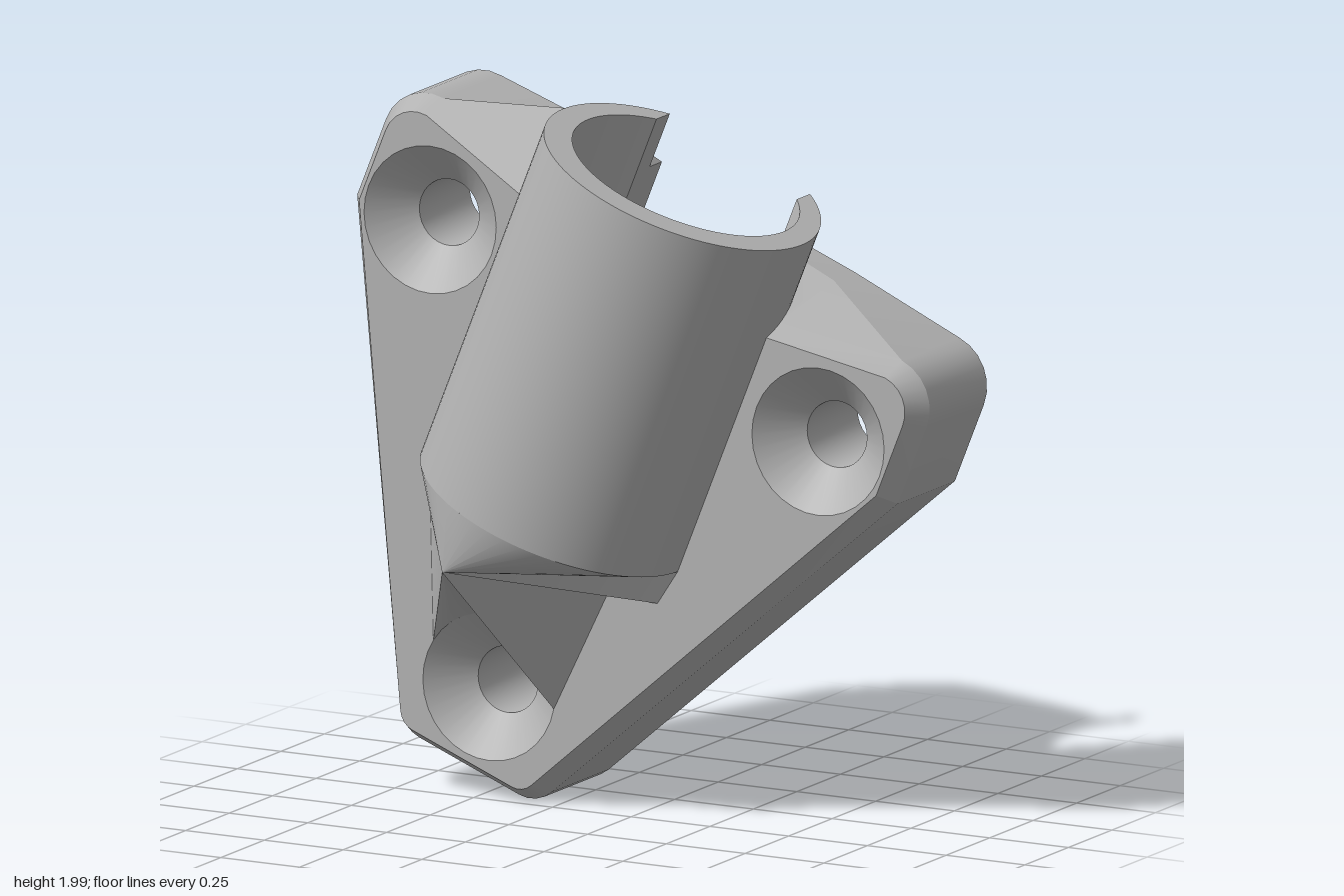
import * as THREE from 'three';
import { toCreasedNormals } from 'three/addons/utils/BufferGeometryUtils.js';

const TILT = 22 * Math.PI / 180;      // lean of the socket
const R_OUT = 0.408, R_IN = 0.335;    // socket radii
const BORE_Z = -0.02;                 // bore sits slightly towards the rear
const SLOT = 0.24, FLOOR = 0.72, TOP = 1.77;
const HOLE = 0.095, SINK = 0.21, SINK_DEPTH = 0.11;
const HOLES = [[0, 0.13], [0.664, 1.275], [-0.664, 1.275]];

// rounded plate corner: side edge [x, y, z] with its chamfered front edge [x, y]
const corner = (cx, cy, r, rFront, from, to, steps) =>
  Array.from({ length: steps + 1 }, (_, i) => {
    const a = (from + (to - from) * i / steps) * Math.PI / 180;
    const c = Math.cos(a), s = Math.sin(a);
    return [cx + r * c, cy + r * s, -0.07, cx + rFront * c, cy + rFront * s];
  });

// right half of the plate outline, ending in the rear slot
const EDGE = [
  ...corner(0.17, -0.04, 0.1, 0.06, -90, -27, 4),
  [0.925, 1.2, -0.07, 0.885, 1.22],
  ...corner(0.785, 1.445, 0.14, 0.1, 0, 90, 6),
  [0.42, 1.6, -0.28, 0.4, 1.47],
  [SLOT, 1.6, -0.3, 0.375, 1.47],
  [SLOT, FLOOR, -0.3, 0.375, FLOOR],
];

const circle = (cx, cy, r, n = 32) => Array.from({ length: n }, (_, i) => {
  const a = i / n * Math.PI * 2;
  return new THREE.Vector2(cx + r * Math.cos(a), cy + r * Math.sin(a));
});

// triangles from a list of corner points, normals smoothed below the crease
function faces(points, crease = 0.4) {
  const g = new THREE.BufferGeometry();
  g.setAttribute('position', new THREE.Float32BufferAttribute(points.flat(), 3));
  return toCreasedNormals(g, crease);
}

// flat face of the plate with screw holes
function plateFace(outline, radius) {
  const shape = new THREE.Shape(outline.map(([x, y]) => new THREE.Vector2(x, y)));
  for (const [x, y] of HOLES) shape.holes.push(new THREE.Path(circle(x, y, radius)));
  return new THREE.ShapeGeometry(shape);
}

export function createModel() {
  const grey = new THREE.MeshStandardMaterial({ color: 0xb2b2b2, side: THREE.DoubleSide });
  grey.name = 'grey';
  const model = new THREE.Group();
  model.name = 'angledSocketBracket';
  const body = new THREE.Group();
  body.name = 'leaningBracket';
  body.position.set(-0.5, 0.2, 0);
  body.rotation.z = -TILT;
  model.add(body);
  const add = (name, geometry) => {
    const mesh = new THREE.Mesh(geometry, grey);
    mesh.name = name;
    body.add(mesh);
    return mesh;
  };

  // mounting plate: side walls and chamfer as loops, then flat faces
  const loop = [...EDGE, ...EDGE.map(([x, y, z, u, v]) => [-x, y, z, -u, v]).reverse()];
  const back = loop.map(([x, y]) => [x, y, -0.4]);
  const side = loop.map(([x, y, z]) => [x, y, z]);
  const front = loop.map(([, , , u, v]) => [u, v, 0]);
  // the right shoulder climbs the socket
  side[loop.findIndex(([x]) => x === -0.42)] = [-0.42, 1.72, -0.18];
  const walls = [];
  for (const [a, b] of [[back, side], [side, front]]) {
    for (let i = 0; i < loop.length; i++) {
      const j = (i + 1) % loop.length;
      walls.push(a[i], a[j], b[j], a[i], b[j], b[i]);
    }
  }
  add('plateEdges', faces(walls));
  add('plateFront', plateFace(front, SINK));
  const backFace = plateFace(back, HOLE);
  backFace.index.array.reverse();             // face the rear
  backFace.translate(0, 0, -0.4).computeVertexNormals();
  add('plateBack', backFace);

  // countersunk screw holes
  const profile = [[SINK, 0], [HOLE, -SINK_DEPTH], [HOLE, -0.4]].map(p => new THREE.Vector2(...p));
  const holeGeometry = toCreasedNormals(
    new THREE.LatheGeometry(profile, 32).rotateX(Math.PI / 2), 0.5);
  for (const [x, y] of HOLES) add('screwHole', holeGeometry).position.set(x, y, 0);

  // socket tube, open along the rear
  const outer = Math.asin(SLOT / R_OUT), inner = Math.asin(SLOT / R_IN), q = Math.PI / 2;
  const ring = new THREE.Shape();
  ring.absarc(0, 0, R_OUT, q + outer, 5 * q - outer, false);
  ring.absarc(0, -BORE_Z, R_IN, 5 * q - inner, q + inner, true);
  const tube = new THREE.ExtrudeGeometry(ring, { depth: TOP - FLOOR, bevelEnabled: false, curveSegments: 40 });
  tube.rotateX(-Math.PI / 2).translate(0, FLOOR, 0);
  add('socketTube', toCreasedNormals(tube, 0.5));

  // closed socket bottom and gusset, fanned from one low point
  const tip = [-0.1, 0.527, 0.37];
  const rim = Array.from({ length: 25 }, (_, i) => {
    const a = i / 24 * Math.PI;
    return [R_OUT * Math.cos(a), FLOOR, R_OUT * Math.sin(a)];
  });
  const right = [0.385, 0.605, 0], left = [-0.41, 0.64, 0], foot = [0.237, 0.59, 0];
  const arc = Array.from({ length: 15 }, (_, i) => {
    const a = (0.06 + 0.88 * i / 14) * Math.PI;
    return [SINK * Math.cos(a), 0.13 + SINK * Math.sin(a), 0];
  });
  const gusset = [];
  const chain = [left, ...[...rim].reverse(), right, foot, ...arc, left];
  for (let i = 0; i < chain.length - 1; i++) gusset.push(tip, chain[i + 1], chain[i]);
  add('gusset', faces(gusset));
  const floor = [];
  for (let i = 0; i < 24; i++) floor.push([0, FLOOR, 0], rim[i + 1], rim[i]);
  add('socketFloor', faces(floor));

  return model;
}
